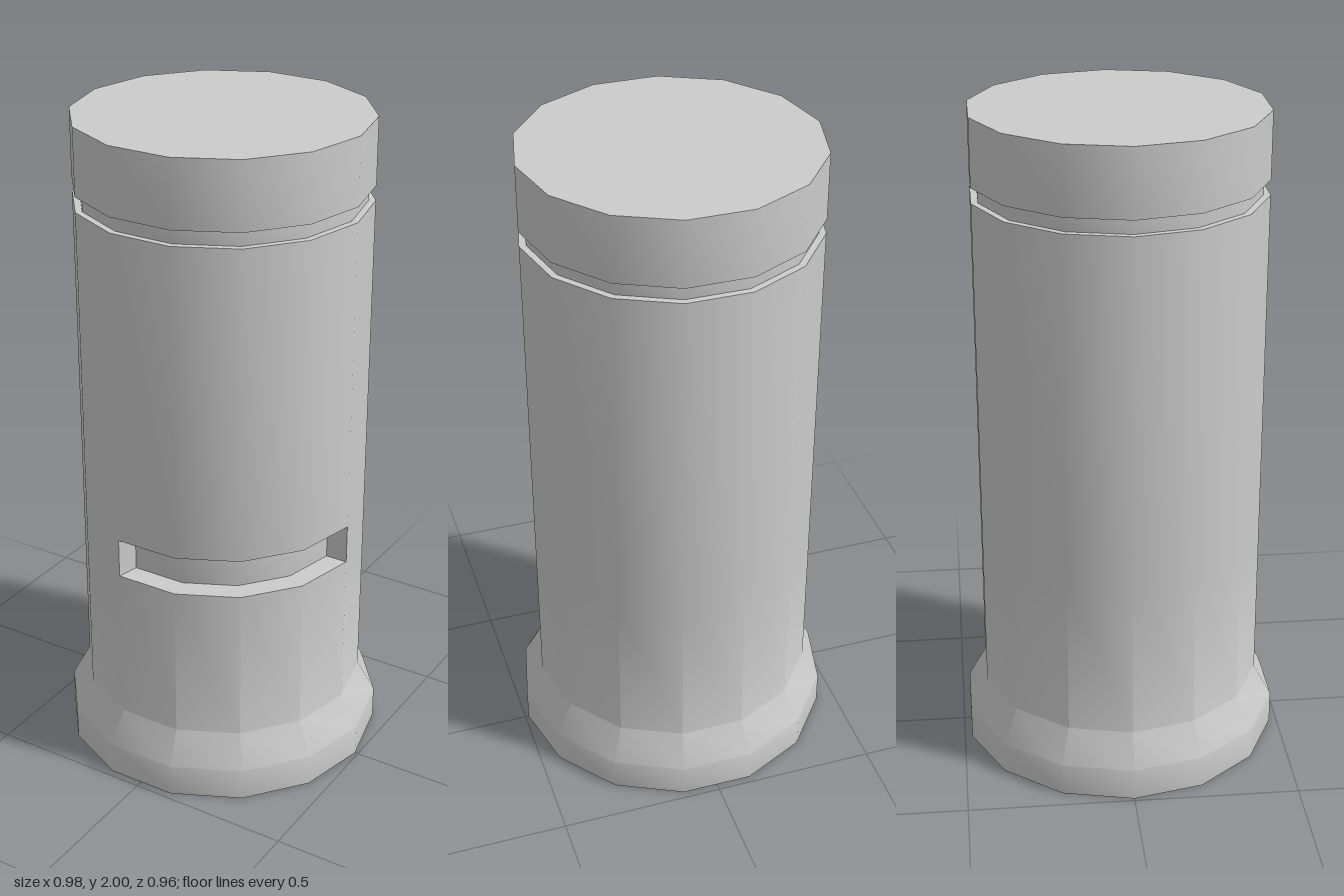
import * as THREE from 'three';
import { mergeGeometries, toCreasedNormals } from 'three/addons/utils/BufferGeometryUtils.js';

const SIDES = 14;
const STEP = (Math.PI * 2) / SIDES;
const R = 0.435;            // shaft radius
const FOOT_R = 0.49;
const NECK_R = 0.415;       // bottom of the ring groove
const SLOT_R = 0.368;       // back of the slot
const SLOT_SIDES = 4;       // slot spans four facets, from +x round to the front
const SLOT_LOW = 0.68, SLOT_HIGH = 0.8;

// Turned profile (bottom to top) over a number of facets, with a corner on +x
function turned(points, start = 0, count = SIDES) {
  const profile = points.map(([r, y]) => new THREE.Vector2(r, y));
  return new THREE.LatheGeometry(profile, count, Math.PI / 2 + start * STEP, count * STEP);
}

// End wall of the slot, standing on the +x axis and facing +z
function slotEnd() {
  return new THREE.PlaneGeometry(R - SLOT_R, SLOT_HIGH - SLOT_LOW);
}

export function createModel() {
  const group = new THREE.Group();
  const material = new THREE.MeshStandardMaterial({ color: 0xcccccc });

  function add(name, parts) {
    const mesh = new THREE.Mesh(toCreasedNormals(mergeGeometries(parts), 0.6), material);
    mesh.name = name;
    group.add(mesh);
  }

  const midR = (R + SLOT_R) / 2, midY = (SLOT_LOW + SLOT_HIGH) / 2;

  // Flared foot and shaft, with a band left open for the slot
  add('shaft', [
    turned([[0, 0], [FOOT_R, 0], [FOOT_R, 0.1], [R, 0.2], [R, SLOT_LOW]]),
    turned([[R, SLOT_LOW], [R, SLOT_HIGH]], 0, SIDES - SLOT_SIDES),
    turned([[R, SLOT_HIGH], [R, 1.755], [NECK_R, 1.755]]),
  ]);

  // Recessed slot: floor, back and ceiling, then the two end walls
  add('slot', [
    turned([[R, SLOT_LOW], [SLOT_R, SLOT_LOW], [SLOT_R, SLOT_HIGH], [R, SLOT_HIGH]], -SLOT_SIDES, SLOT_SIDES),
    slotEnd().translate(midR, midY, 0),
    slotEnd().rotateY(Math.PI).translate(midR, midY, 0).rotateY(-SLOT_SIDES * STEP),
  ]);

  // Ring groove and flat-topped cap
  add('grooveNeck', [turned([[NECK_R, 1.755], [NECK_R, 1.8]])]);
  add('cap', [turned([[NECK_R, 1.8], [R, 1.8], [R, 2], [0, 2]])]);

  return group;
}
